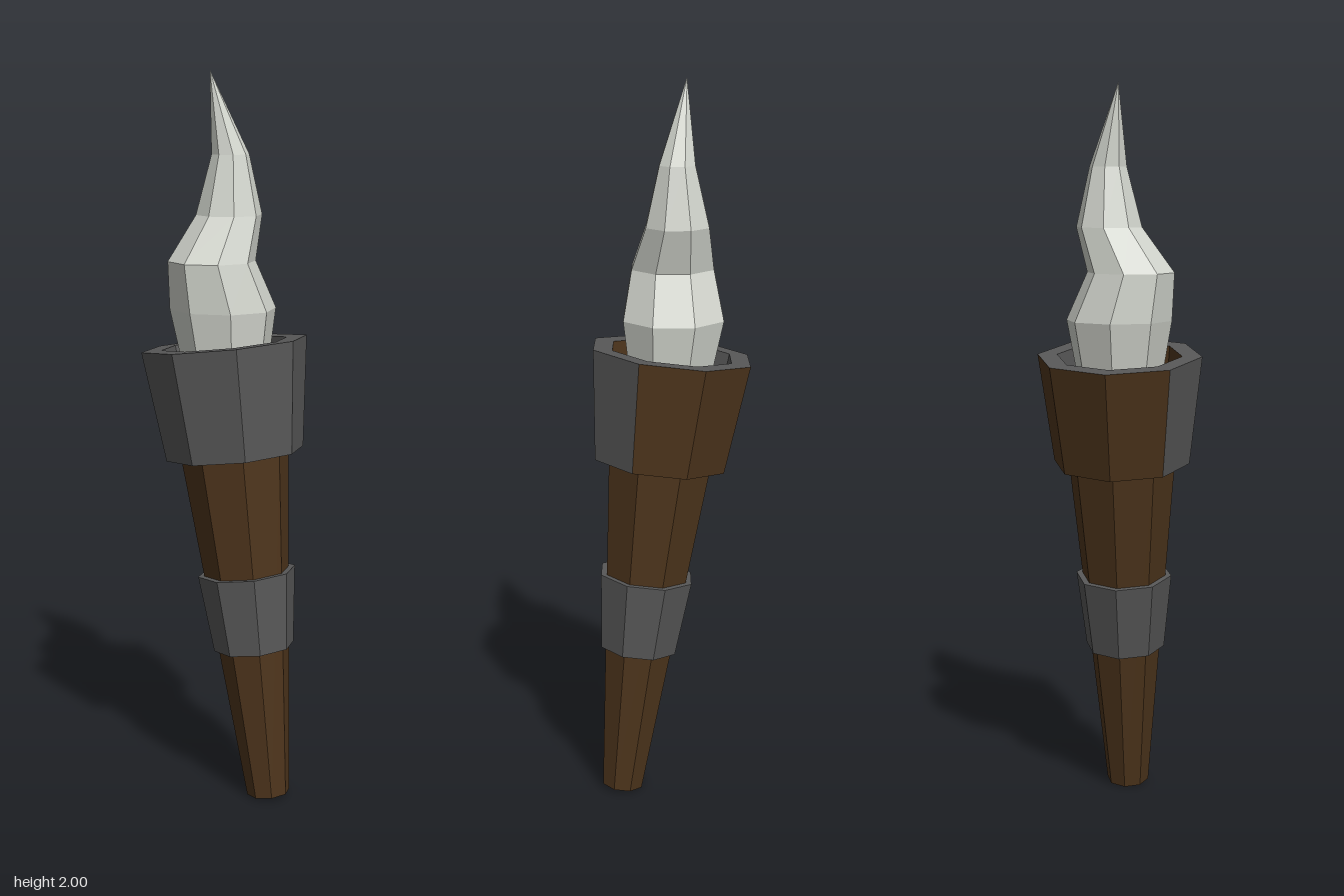
import * as THREE from 'three';

const SIDES = 8;
const mat = (color) => new THREE.MeshStandardMaterial({ color, flatShading: true });

export function createModel() {
  const model = new THREE.Group();
  const wood = mat(0x4e351c), iron = mat(0x585858), flameMat = mat(0xd3d6ce);

  // Leaning shaft: everything but the flame follows its axis
  const torch = new THREE.Group();
  torch.name = 'torch';
  torch.position.set(0.15, 0.008, 0);
  torch.rotation.z = 0.122;
  model.add(torch);

  const add = (name, geometry, material, parent = torch) => {
    const mesh = new THREE.Mesh(geometry, material);
    mesh.name = name;
    parent.add(mesh);
    return mesh;
  };

  // Part of a turned profile, measured in eighths of a turn
  const arc = (points, start = 0, count = SIDES) => new THREE.LatheGeometry(
    points.map(([r, y]) => new THREE.Vector2(r, y)),
    count, start * Math.PI / 4, count * Math.PI / 4);

  // Tapered handle
  const handle = new THREE.CylinderGeometry(0.15, 0.06, 0.98, SIDES);
  handle.translate(0, 0.49, 0);
  add('handle', handle, wood);

  // Lower band
  const band = new THREE.CylinderGeometry(0.136, 0.112, 0.215, SIDES);
  band.translate(0, 0.533, 0);
  add('band', band, iron);

  // Hollow cup: half of its outer and inner walls are wood, the rest iron
  const cup = new THREE.Group();
  cup.name = 'cup';
  torch.add(cup);
  const low = 0.972, high = 1.275;
  const outer = [[0.19, low], [0.228, high]];
  const inner = [[0.173, high], [0.138, low]];
  add('cupOuterIron', arc(outer, 7, 4), iron, cup);
  add('cupOuterWood', arc(outer, 3, 4), wood, cup);
  add('cupInnerWood', arc(inner, 7, 4), wood, cup);
  add('cupInnerIron', arc(inner, 3, 4), iron, cup);
  add('cupRim', arc([outer[1], inner[0]]), iron, cup);
  add('cupUnderside', arc([inner[1], outer[0]]), iron, cup);

  // Flame: a cone whose rings wander sideways. Rows are x, y, z, radius
  const rings = [
    [0.03, 1.0, 0, 0.05],
    [0.0, 1.2, 0, 0.115],
    [-0.01, 1.37, 0, 0.145],
    [-0.022, 1.5, 0.034, 0.119],
    [-0.01, 1.62, -0.027, 0.09],
    [-0.008, 1.78, -0.03, 0.051],
    [-0.05, 2.0, 0.005, 0],
  ];
  const flame = new THREE.CylinderGeometry(1, 1, 1, SIDES, rings.length - 1, true);
  const p = flame.attributes.position;
  for (let i = 0; i < p.count; i++) {
    const row = rings.length - 1 - Math.floor(i / (SIDES + 1));
    const [x, y, z, r] = rings[row];
    p.setXYZ(i, x + p.getX(i) * r, y, z + p.getZ(i) * r);
  }
  flame.computeVertexNormals();
  add('flame', flame, flameMat, model);

  return model;
}
